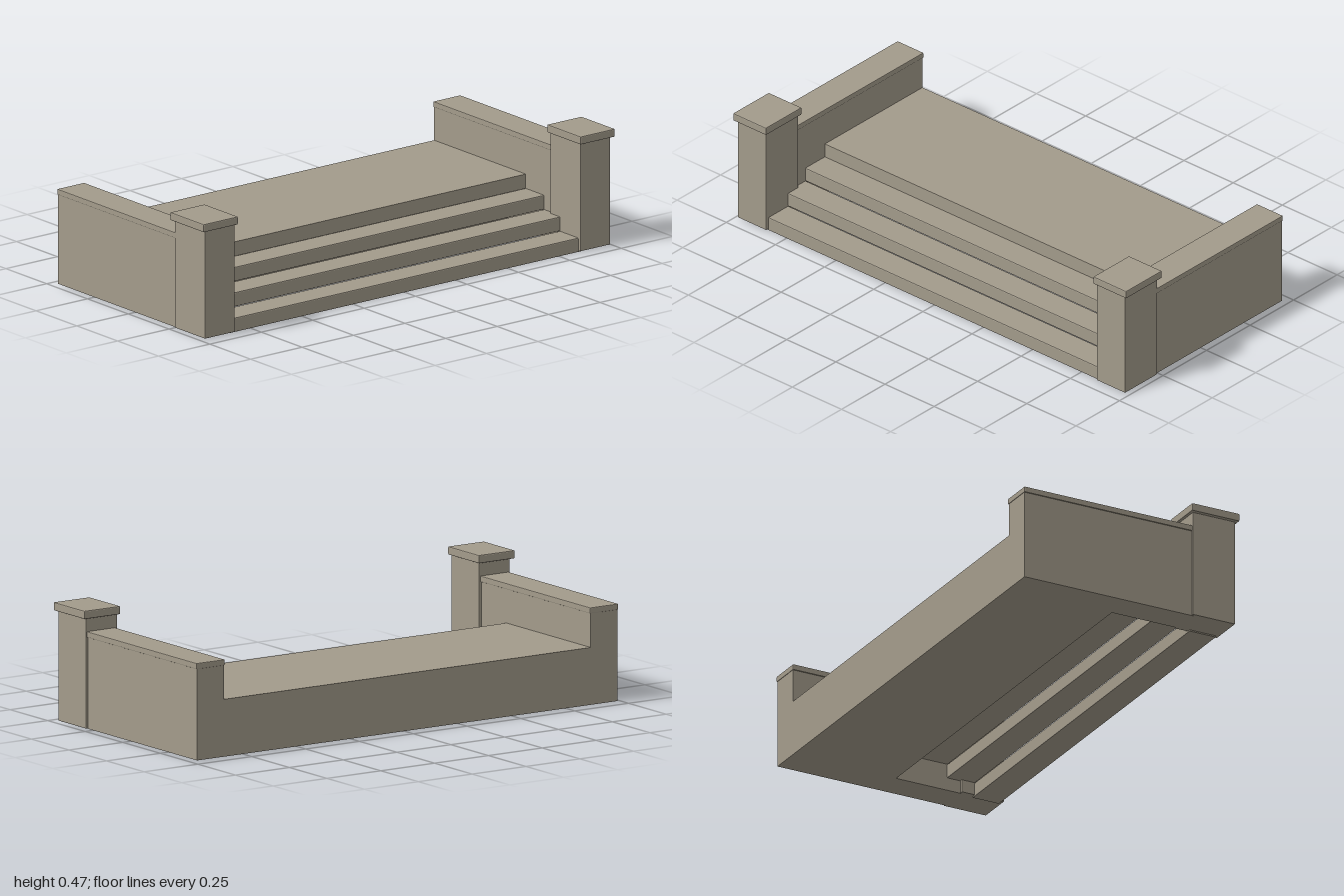
import * as THREE from 'three';
import { RoundedBoxGeometry } from 'three/addons/geometries/RoundedBoxGeometry.js';

const stone = new THREE.MeshStandardMaterial({ color: 0xa39b8b });
stone.name = 'warm grey stone';

// Block given by its limits on each axis, with an optional small chamfer
function block(name, [x0, x1], [y0, y1], [z0, z1], chamfer = 0) {
  const size = [x1 - x0, y1 - y0, z1 - z0];
  const geometry = chamfer
    ? new RoundedBoxGeometry(...size, 1, chamfer)
    : new THREE.BoxGeometry(...size);
  if (chamfer) geometry.computeVertexNormals();
  const mesh = new THREE.Mesh(geometry, stone);
  mesh.name = name;
  mesh.position.set((x0 + x1) / 2, (y0 + y1) / 2, (z0 + z1) / 2);
  return mesh;
}

export function createModel() {
  const model = new THREE.Group();
  model.name = 'entranceSteps';

  // Landing block behind the stairs
  model.add(block('landing', [-0.852, 0.852], [0.005, 0.228], [-0.46, -0.012]));

  // Four separate stair slabs, open underneath
  const rise = 0.057, run = 0.1125;
  const stairs = new THREE.Group();
  stairs.name = 'stairs';
  for (let i = 0; i < 4; i++) {
    const front = 0.438 - i * run;
    const back = i === 3 ? -0.02 : front - run - 0.003;
    // The top slab tucks into the landing without a chamfered seam
    stairs.add(block('step', [-0.858, 0.858], [i * rise, (i + 1) * rise],
      [back, front], i === 3 ? 0 : 0.004));
  }
  model.add(stairs);

  // Side walls with coping, and a capped post at each front corner
  for (const side of [1, -1]) {
    const span = (a, b) => (side > 0 ? [a, b] : [-b, -a]);
    const flank = new THREE.Group();
    flank.name = side > 0 ? 'leftFlank' : 'rightFlank';
    flank.add(
      block('sideWall', span(0.852, 0.976), [0.005, 0.361], [-0.46, 0.275]),
      block('coping', span(0.848, 0.98), [0.36, 0.383], [-0.462, 0.275], 0.003),
      block('post', span(0.84, 0.985), [0.006, 0.437], [0.267, 0.451], 0.003),
      block('postCap', span(0.832, 1), [0.435, 0.467], [0.256, 0.462], 0.004),
    );
    model.add(flank);
  }
  return model;
}
